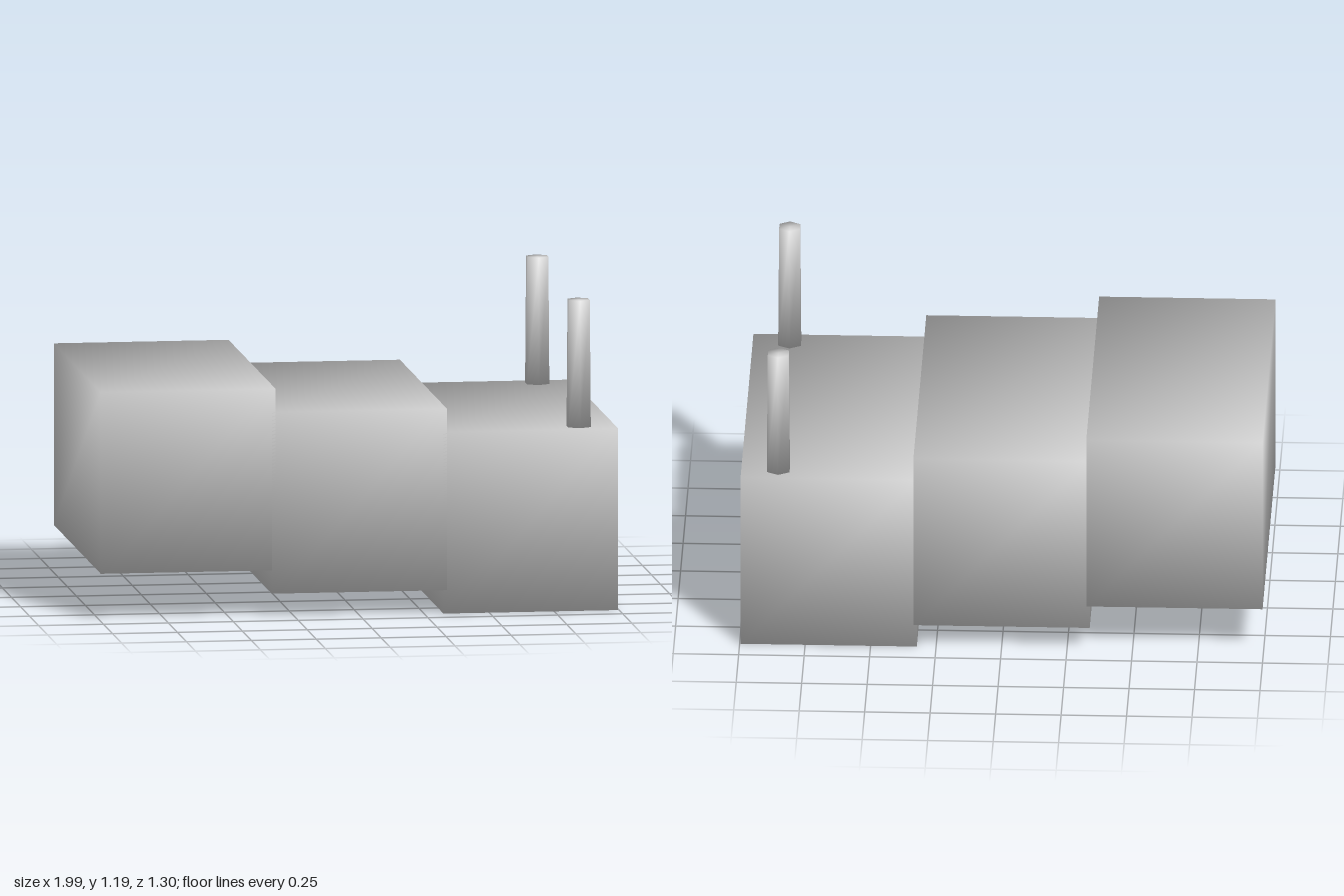
import * as THREE from 'three';
import { mergeVertices } from 'three/addons/utils/BufferGeometryUtils.js';

// Weld corners and give each one an angle-weighted smooth normal
function smooth(source) {
  source.deleteAttribute('normal');
  source.deleteAttribute('uv');
  const g = mergeVertices(source, 1e-4);
  g.clearGroups();
  const pos = g.attributes.position, idx = g.index.array;
  const normals = Array.from({ length: pos.count }, () => new THREE.Vector3());
  for (let i = 0; i < idx.length; i += 3) {
    const ids = [idx[i], idx[i + 1], idx[i + 2]];
    const p = ids.map((k) => new THREE.Vector3().fromBufferAttribute(pos, k));
    const face = new THREE.Triangle(...p).getNormal(new THREE.Vector3());
    ids.forEach((id, k) => {
      const a = p[(k + 1) % 3].clone().sub(p[k]);
      const b = p[(k + 2) % 3].clone().sub(p[k]);
      normals[id].addScaledVector(face, a.angleTo(b));
    });
  }
  g.setAttribute('normal', new THREE.Float32BufferAttribute(
    normals.flatMap((n) => n.normalize().toArray()), 3));
  return g;
}

// Block standing on y = 0, slightly narrower at the top
function taperedBlock(width, height, depth, taper) {
  const g = new THREE.BoxGeometry(width, height, depth).translate(0, height / 2, 0);
  const p = g.attributes.position;
  for (let i = 0; i < p.count; i++) {
    if (p.getY(i) > 0) p.setXYZ(i, p.getX(i) * taper, p.getY(i), p.getZ(i) * taper);
  }
  return smooth(g);
}

export function createModel() {
  const model = new THREE.Group();
  model.name = 'steppedBlocks';

  const grey = new THREE.MeshStandardMaterial({ color: 0xcccccc });
  grey.name = 'light grey';

  // Three overlapping steps descending towards +x
  const blockGeometry = taperedBlock(0.68, 0.7, 1.314, 0.99);
  for (let i = 0; i < 3; i++) {
    const step = new THREE.Mesh(blockGeometry, grey);
    step.name = `step${i + 1}`;
    step.position.set((i - 1) * 0.66, (2 - i) * 0.09, 0);
    model.add(step);
  }

  // Hexagonal posts on the lowest step
  const postGeometry = smooth(new THREE.CylinderGeometry(0.046, 0.05, 0.49, 6));
  for (const side of [1, -1]) {
    const post = new THREE.Mesh(postGeometry, grey);
    post.name = side > 0 ? 'frontPost' : 'backPost';
    post.position.set(0.855, 0.945, side * 0.573);
    model.add(post);
  }
  return model;
}
